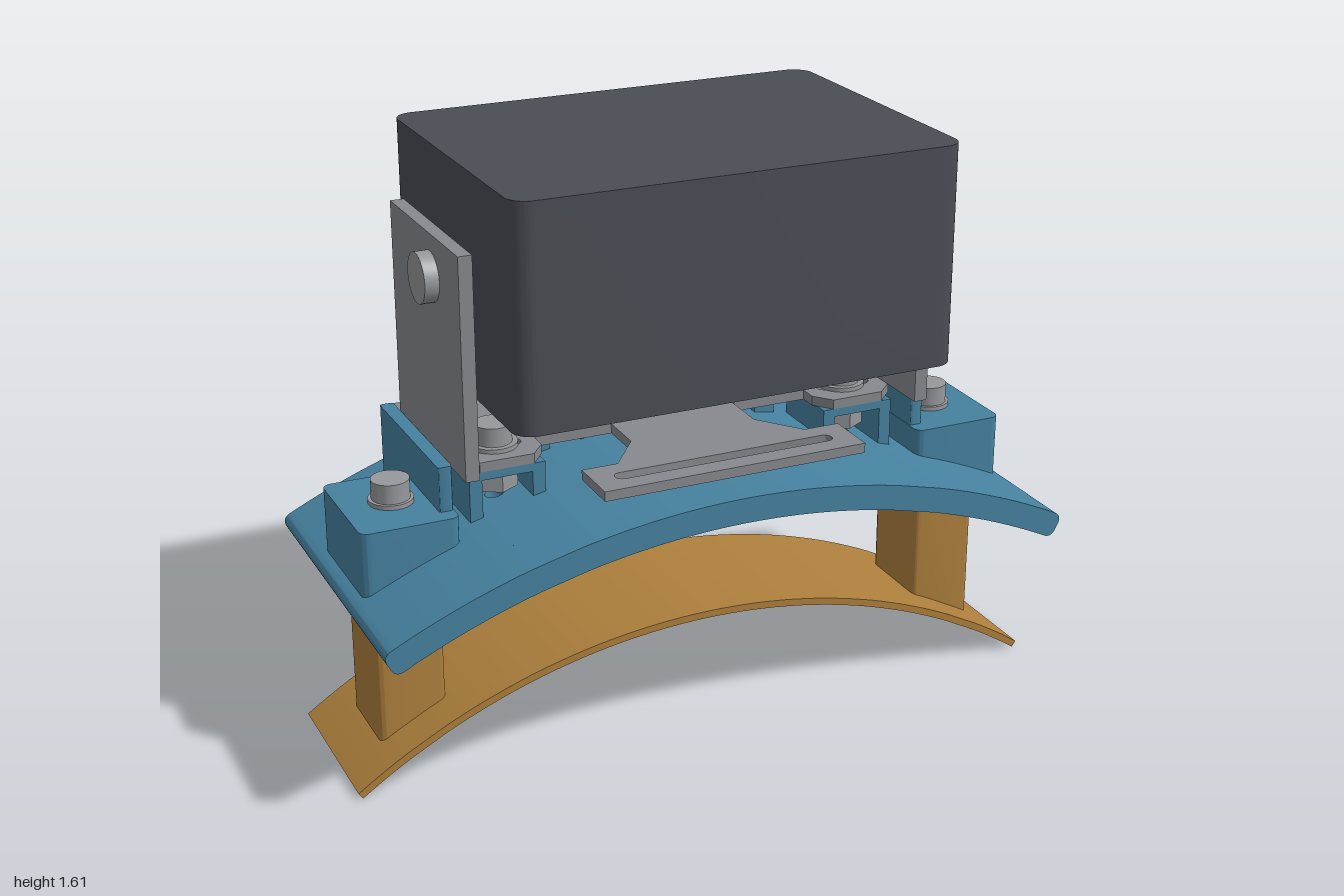
import * as THREE from 'three';
import { mergeGeometries, toCreasedNormals } from 'three/addons/utils/BufferGeometryUtils.js';

const mat = (color) => new THREE.MeshStandardMaterial({ color });
const BLUE = mat(0x4682a0), GOLD = mat(0xad7f3c), DARK = mat(0x4a4d55), GREY = mat(0x88898e), STEEL = mat(0x97989c);

// The two concentric-style curved plates: outer radius, thickness, centre height
const SADDLE = { R: 2.14, t: 0.07, cy: -1.39 };
const STRAP = { R: 1.745, t: 0.02, cy: -1.415 };
const arcY = (p, x, inset) => p.cy + Math.sqrt((p.R - inset) ** 2 - x * x);

// Rounded rectangle in plan (shape y is -z)
function plan(x0, x1, z0, z1, r = 0) {
  const s = new THREE.Shape(), a = -z1, b = -z0, h = Math.PI / 2;
  if (!r) return s.moveTo(x0, a).lineTo(x1, a).lineTo(x1, b).lineTo(x0, b).closePath();
  s.absarc(x1 - r, a + r, r, -h, 0);
  s.absarc(x1 - r, b - r, r, 0, h);
  s.absarc(x0 + r, b - r, r, h, 2 * h);
  s.absarc(x0 + r, a + r, r, 2 * h, 3 * h);
  return s.closePath();
}

function extrude(shape, depth, curveSegments = 8) {
  return new THREE.ExtrudeGeometry(shape, { depth, bevelEnabled: false, curveSegments });
}

// Plan shape raised from y0 to y1
const slab = (shape, y0, y1) => extrude(shape, y1 - y0).rotateX(-Math.PI / 2).translate(0, y0, 0);

// Reshape the ends of a slab: each vertex below y = 0.5 goes to bottom(x), the rest to top(x)
function upright(shape, bottom, top) {
  const g = slab(shape, 0, 1), p = g.attributes.position;
  for (let i = 0; i < p.count; i++) p.setY(i, p.getY(i) < 0.5 ? bottom(p.getX(i)) : top(p.getX(i)));
  g.computeVertexNormals();
  return g;
}

// Curved plate made of ring sectors, with drilled flat pieces between them
function curvedPlate({ R, t, cy }, halfX, halfZ, holeX, holeR, round) {
  const Ri = R - t, d = 0.03, end = Math.asin(halfX / R), hole = Math.asin(holeX / R);
  const P = (r, a) => [r * Math.sin(a), r * Math.cos(a)];
  const parts = [];
  const sector = (a0, a1, r0, r1) => {
    const s = new THREE.Shape(), h = Math.PI / 2;
    s.moveTo(...P(R, a0 + r0 / R));
    s.absarc(0, 0, R, h - a0 - r0 / R, h - a1 + r1 / R, true);
    if (r1) {
      s.quadraticCurveTo(...P(R, a1), ...P(R - r1, a1));
      s.lineTo(...P(Ri + r1, a1));
      s.quadraticCurveTo(...P(Ri, a1), ...P(Ri, a1 - r1 / R));
    } else s.lineTo(...P(Ri, a1));
    s.absarc(0, 0, Ri, h - a1 + r1 / R, h - a0 - r0 / R, false);
    if (r0) {
      s.quadraticCurveTo(...P(Ri, a0), ...P(Ri + r0, a0));
      s.lineTo(...P(R - r0, a0));
      s.quadraticCurveTo(...P(R, a0), ...P(R, a0 + r0 / R));
    }
    parts.push(extrude(s, 2 * halfZ, 24).translate(0, 0, -halfZ));
  };
  sector(-end, -hole - d, round, 0);
  sector(-hole + d, hole - d, 0, 0);
  sector(hole + d, end, 0, round);
  for (const sgn of [-1, 1]) {
    const w = R * Math.sin(d), s = plan(-w, w, -halfZ, halfZ);
    s.holes.push(new THREE.Path().absarc(0, 0, holeR, 0, Math.PI * 2, true));
    const g = slab(s, Ri * Math.cos(d), R * Math.cos(d)), p = g.attributes.position;
    for (let i = 0; i < p.count; i++) p.setX(i, p.getX(i) * p.getY(i) / (R * Math.cos(d)));
    parts.push(g.rotateZ(-sgn * hole));
  }
  return mergeGeometries(parts).translate(0, cy, 0);
}

export function createModel() {
  const model = new THREE.Group();
  const add = (name, geo, material) => {
    const m = new THREE.Mesh(toCreasedNormals(geo, 0.6), material);
    m.name = name;
    model.add(m);
    return m;
  };
  const box = (name, x0, x1, y0, y1, z0, z1, material) =>
    add(name, new THREE.BoxGeometry(x1 - x0, y1 - y0, z1 - z0)
      .translate((x0 + x1) / 2, (y0 + y1) / 2, (z0 + z1) / 2), material);
  const cyl = (name, r, x, y0, y1, z, material, sides = 28) =>
    add(name, new THREE.CylinderGeometry(r, r, y1 - y0, sides).translate(x, (y0 + y1) / 2, z), material);
  // Plan range mirrored to the chosen side
  const side = (s, a, b, z0, z1, r) => plan(Math.min(s * a, s * b), Math.max(s * a, s * b), z0, z1, r);
  const sideBox = (name, s, a, b, ...rest) => box(name, Math.min(s * a, s * b), Math.max(s * a, s * b), ...rest);

  // Curved plates
  add('lowerStrap', curvedPlate(STRAP, 0.997, 0.228, 0.81, 0.032, 0), GOLD);
  add('saddle', curvedPlate(SADDLE, 0.978, 0.44, 0.515, 0.028, 0.028), BLUE);

  // Rear fence following the saddle
  const fence = new THREE.Shape(), rf = SADDLE.R - 0.03, af = Math.asin(0.62 / rf);
  fence.moveTo(-0.62, 0.84);
  fence.absarc(0, SADDLE.cy, rf, Math.PI / 2 + af, Math.PI / 2 - af, true);
  fence.lineTo(0.62, 0.84);
  add('rearFence', extrude(fence, 0.035, 24).translate(0, 0, -0.42), BLUE);

  // Slotted adapter plate
  const half = [[0.37, 0.4], [0.37, 0.25], [0.27, 0.25], [0.18, 0.13], [0.18, 0], [0.4, 0], [0.4, 0.05],
    [0.44, 0.1], [0.59, 0.1], [0.64, 0.05], [0.665, 0], [0.665, -0.385]];
  const outline = [...half, ...half.map(([x, z]) => [-x, z]).reverse()];
  const plate = new THREE.Shape(outline.map(([x, z]) => new THREE.Vector2(x, -z)));
  plate.holes.push(plan(-0.31, 0.31, 0.305, 0.345, 0.019));
  for (const s of [-1, 1]) plate.holes.push(side(s, 0.44, 0.6, -0.025, 0.025, 0.024));
  add('adapterPlate', slab(plate, 0.795, 0.822), GREY);

  // Bracket and tilting housing
  box('bracketBase', -0.665, 0.665, 0.825, 0.86, -0.305, -0.1, GREY);
  add('housing', slab(plan(-0.61, 0.61, -0.44, 0.44, 0.055), 1.02, 1.61), DARK);

  for (const s of [-1, 1]) {
    // Strap post and mounting pad
    add('post', upright(side(s, 0.71, 0.895, -0.115, 0.115, 0.018),
      (x) => arcY(STRAP, x, 0.003), (x) => arcY(SADDLE, x, 0.04)), GOLD);
    add('mountingPad', upright(side(s, 0.67, 0.935, -0.17, 0.17, 0.025),
      (x) => arcY(SADDLE, x, 0.03), () => 0.715), BLUE);
    cyl('padWasher', 0.06, s * 0.8, 0.715, 0.727, 0, STEEL);
    cyl('padBolt', 0.051, s * 0.8, 0.727, 0.78, 0, STEEL);

    // Side rail on the saddle
    add('sideRail', upright(side(s, 0.672, 0.71, -0.352, 0.122, 0.008),
      (x) => arcY(SADDLE, x, 0.03), () => 0.838), BLUE);

    // Nut pocket below the adapter plate
    for (const [a, b] of [[0.41, 0.445], [0.585, 0.62]])
      add('pocketWall', upright(side(s, a, b, -0.1, 0.1),
        (x) => arcY(SADDLE, x, 0.03), () => 0.795), BLUE);
    sideBox('pocketBack', s, 0.41, 0.62, 0.66, 0.795, -0.12, -0.09, BLUE);
    sideBox('pocketRoof', s, 0.41, 0.62, 0.772, 0.795, -0.1, 0.1, BLUE);
    cyl('plateNut', 0.062, s * 0.515, 0.71, 0.765, 0, STEEL, 6);

    // Bolts through the plate and the bracket base
    cyl('plateWasher', 0.065, s * 0.515, 0.822, 0.834, 0, STEEL);
    cyl('plateBolt', 0.05, s * 0.515, 0.834, 0.886, 0, STEEL);
    cyl('plateBoltShaft', 0.024, s * 0.515, 0.71, 0.83, 0, STEEL);
    cyl('baseWasher', 0.06, s * 0.265, 0.86, 0.87, -0.2, STEEL);
    cyl('baseBolt', 0.05, s * 0.265, 0.87, 0.922, -0.2, STEEL);
    cyl('baseBoltShaft', 0.025, s * 0.265, 0.755, 0.86, -0.2, STEEL);

    // Rear supports under the plate
    for (const [a, b] of [[0.12, 0.22], [0.31, 0.37]])
      sideBox('plateSupport', s, a, b, 0.7, 0.795, -0.3, -0.12, BLUE);

    // Bracket arm with pivot
    sideBox('bracketArm', s, 0.63, 0.667, 0.825, 1.42, -0.305, 0.21, GREY);
    for (const [name, r, a, b] of [['pivotHead', 0.067, 0.667, 0.705], ['pivotSpacer', 0.04, 0.6, 0.632]])
      add(name, new THREE.CylinderGeometry(r, r, b - a, 32).rotateZ(Math.PI / 2)
        .translate(s * (a + b) / 2, 1.307, 0), STEEL);
  }
  box('centreSupport', -0.12, 0.12, 0.7, 0.795, -0.34, -0.3, BLUE);
  return model;
}
